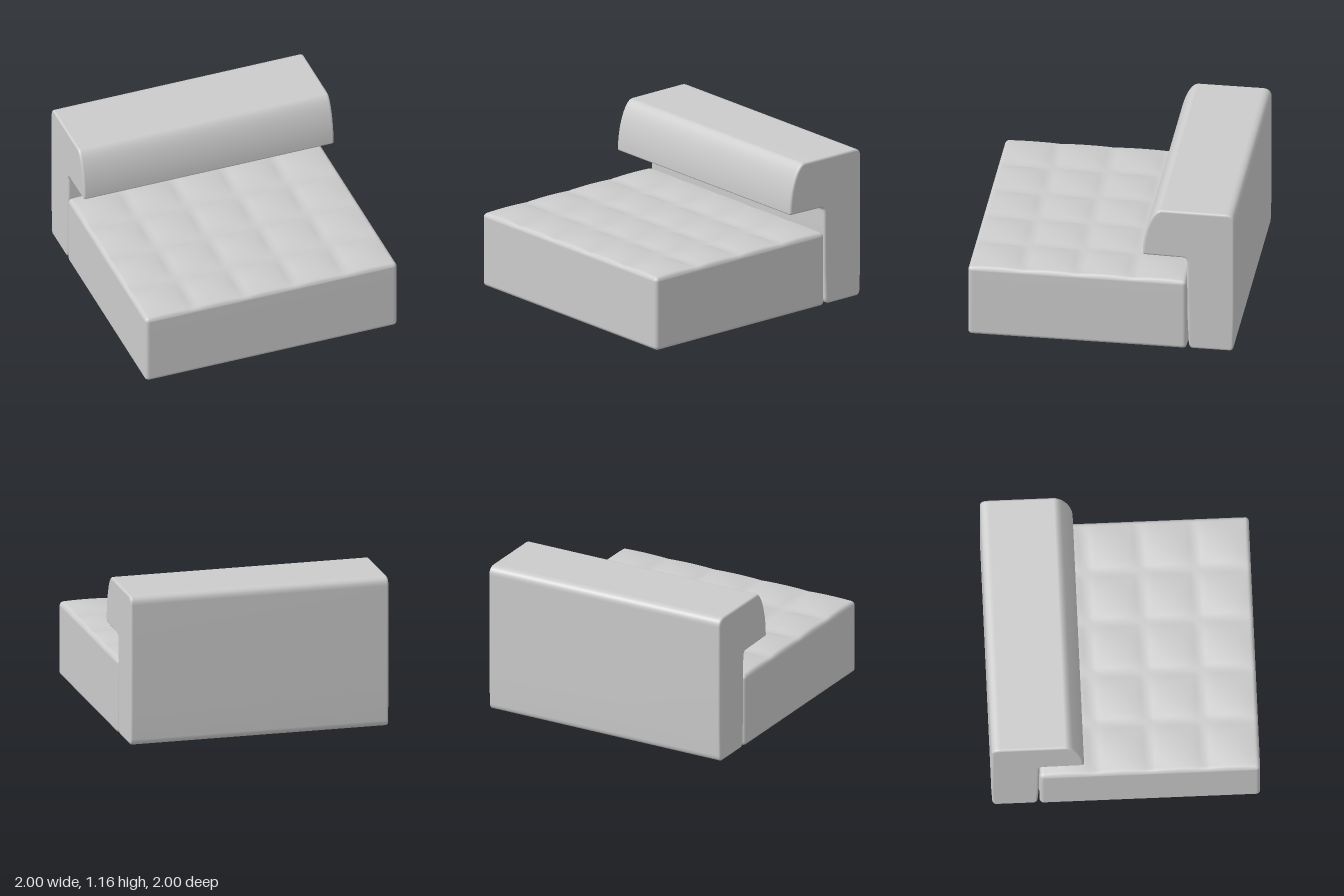
import * as THREE from 'three';
import { mergeVertices } from 'three/addons/utils/BufferGeometryUtils.js';

const material = new THREE.MeshStandardMaterial({ color: 0xcccccc });

// Weld the vertices and shade the whole surface smoothly
function smooth(geometry) {
  geometry.deleteAttribute('uv');
  geometry.deleteAttribute('normal');
  const welded = mergeVertices(geometry, 1e-5);
  welded.computeVertexNormals();
  return welded;
}

// Rounded block whose top swells into a grid of tufted cells
function tuftedBlock(width, height, depth, radius, cols, rows, swell) {
  const E = 4; // segments across each rounded edge
  const inner = [cols * 10, 4, rows * 10];
  const size = [width, height, depth];
  const n = inner.map((s) => s + 2 * E);
  const geometry = new THREE.BoxGeometry(...n, ...n);
  const pos = geometry.attributes.position;
  const v = new THREE.Vector3(), core = new THREE.Vector3(), dir = new THREE.Vector3();
  const crown = (t, cells) => {
    const f = (t + 0.5) * cells;
    const u = 2 * (f - Math.floor(f)) - 1;
    return Math.pow(Math.max(0, 1 - u * u), 0.8);
  };
  for (let i = 0; i < pos.count; i++) {
    v.fromBufferAttribute(pos, i);
    for (let a = 0; a < 3; a++) {
      const c = v.getComponent(a), h = inner[a] / 2, limit = size[a] / 2 - radius;
      const along = THREE.MathUtils.clamp(c / h, -1, 1) * size[a] / 2;
      core.setComponent(a, THREE.MathUtils.clamp(along, -limit, limit));
      const over = Math.max(0, Math.abs(c) - h) / E;
      dir.setComponent(a, Math.sign(c) * Math.tan(over * Math.PI / 4));
    }
    const onTop = v.y > n[1] / 2 - 1e-4;
    v.copy(core).addScaledVector(dir.normalize(), radius);
    if (onTop) v.y += swell * crown(v.x / width, cols) * crown(v.z / depth, rows);
    pos.setXYZ(i, v.x, v.y + height / 2, v.z);
  }
  return smooth(geometry);
}

// Side profile of the backrest, drawn as (z, y), with an overhanging head roll
function backrestProfile() {
  const s = new THREE.Shape();
  s.moveTo(-0.69, 0.005);
  s.lineTo(-0.96, 0.005);
  s.quadraticCurveTo(-0.99, 0.005, -0.993, 0.05);
  s.lineTo(-1, 0.3);
  s.lineTo(-1, 1.09);
  s.quadraticCurveTo(-1, 1.157, -0.93, 1.157);
  s.lineTo(-0.45, 1.157);
  s.bezierCurveTo(-0.38, 1.155, -0.31, 0.97, -0.31, 0.79);
  s.quadraticCurveTo(-0.31, 0.773, -0.33, 0.773);
  s.lineTo(-0.61, 0.768);
  s.quadraticCurveTo(-0.642, 0.765, -0.642, 0.73);
  s.lineTo(-0.645, 0.3);
  s.lineTo(-0.655, 0.05);
  s.quadraticCurveTo(-0.66, 0.005, -0.69, 0.005);
  return s;
}

export function createModel() {
  const group = new THREE.Group();

  // Tufted seat block
  const seat = new THREE.Mesh(tuftedBlock(2, 0.568, 1.64, 0.03, 5, 4, 0.024), material);
  seat.name = 'tuftedSeat';
  seat.position.z = 0.18;
  group.add(seat);

  // Backrest, extruded along the width with softened ends
  const bevel = 0.018, width = 1.99;
  const geometry = new THREE.ExtrudeGeometry(backrestProfile(), {
    depth: width - 2 * bevel, curveSegments: 14,
    bevelEnabled: true, bevelThickness: bevel, bevelSize: bevel, bevelOffset: -bevel, bevelSegments: 5,
  });
  geometry.translate(0, 0, bevel - width / 2);
  geometry.rotateY(-Math.PI / 2);
  const backrest = new THREE.Mesh(smooth(geometry), material);
  backrest.name = 'backrest';
  group.add(backrest);

  return group;
}
